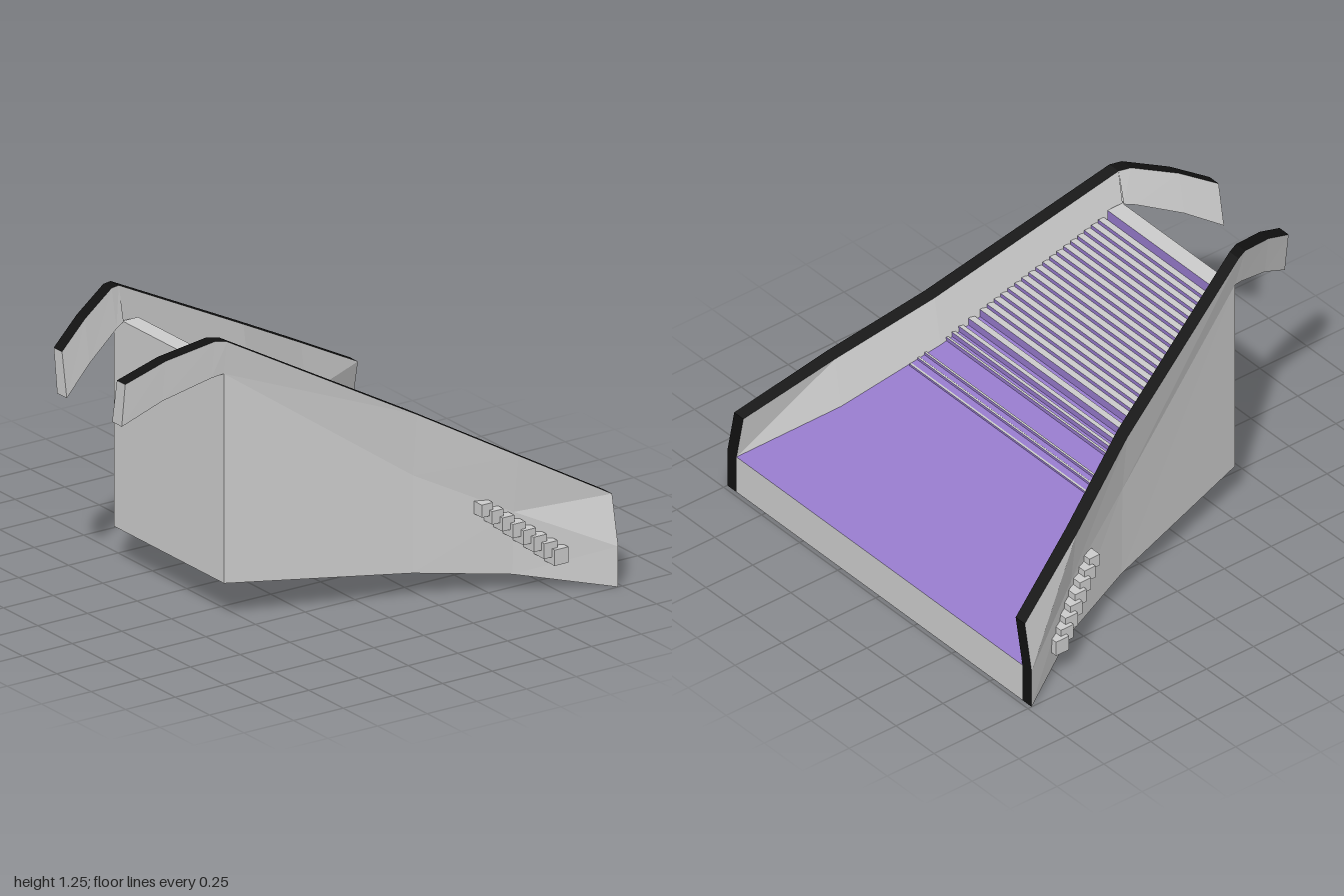
import * as THREE from 'three';

const mat = (color) => new THREE.MeshStandardMaterial({ color, side: THREE.DoubleSide, flatShading: true });

// Skins neighbouring lines of points with quads; mirror flips the patch to -z
function surface(name, material, lines, mirror = false) {
  const pos = [];
  const put = (...pts) => pts.forEach(([x, y, z]) => pos.push(x, y, mirror ? -z : z));
  for (let j = 0; j < lines.length - 1; j++) {
    const [A, B] = mirror ? [lines[j + 1], lines[j]] : [lines[j], lines[j + 1]];
    for (let i = 0; i < A.length - 1; i++) put(A[i], A[i + 1], B[i + 1], A[i], B[i + 1], B[i]);
  }
  const geo = new THREE.BufferGeometry();
  geo.setAttribute('position', new THREE.Float32BufferAttribute(pos, 3));
  geo.computeVertexNormals();
  const mesh = new THREE.Mesh(geo, material);
  mesh.name = name;
  return mesh;
}

const flip = (line) => line.map(([x, y, z]) => [x, y, -z]);

export function createModel() {
  const model = new THREE.Group();
  model.name = 'steppedRamp';
  const grey = mat(0xcccccc);
  const black = mat(0x111111);
  const purple = mat(0x9378c8);

  // Wall lines from back to front
  const base = [[-0.59, 0.17, 0.4], [0.2, 0.115, 0.63], [0.6, 0.07, 0.78], [0.98, 0, 1]];
  const waist = [[-0.59, 1.1, 0.4], [0.2, 0.55, 0.635], [0.6, 0.35, 0.79], [0.98, 0.18, 1]];
  const rimOut = [[-0.59, 1.25, 0.425], [0.2, 0.83, 0.665], [0.6, 0.61, 0.825], [0.98, 0.4, 0.955]];
  const rimIn = [[-0.59, 1.25, 0.365], [0.2, 0.83, 0.6], [0.6, 0.61, 0.76], [0.98, 0.4, 0.895]];
  const floor = [[-0.59, 1.05, 0.33], [0.2, 0.612, 0.56], [0.6, 0.39, 0.72], [0.98, 0.18, 0.94]];

  // Curved wing lines behind the back face
  const wing = [[-0.99, 0.9, 1.095, 0.26], [-0.83, 1.0, 1.185, 0.325],
    [-0.64, 1.085, 1.255, 0.405], [-0.59, 1.1, 1.25, 0.425]];
  const wLowOut = wing.map(([x, lo, , z]) => [x, lo, z - 0.025]);
  const wTopOut = wing.map(([x, , hi, z]) => [x, hi, z]);
  const wTopIn = wing.map(([x, , hi, z]) => [x, hi, z - 0.06]);
  const wLowIn = wing.map(([x, lo, , z]) => [x, lo, z - 0.095]);

  for (const mirror of [false, true]) {
    const side = new THREE.Group();
    side.name = mirror ? 'rightSide' : 'leftSide';
    side.add(
      surface('outerWall', grey, [base, waist, rimOut], mirror),
      surface('innerWall', grey, [rimIn, floor], mirror),
      surface('wallRim', black, [rimOut, rimIn], mirror),
      surface('wallFrontEnd', black, [
        [[0.98, 0, 0.94], floor[3], rimIn[3]],
        [base[3], waist[3], rimOut[3]]], mirror),
      surface('wingOuter', grey, [wLowOut, wTopOut], mirror),
      surface('wingRim', black, [wTopOut, wTopIn], mirror),
      surface('wingInner', grey, [wTopIn, wLowIn, wLowOut], mirror),
      surface('wingEnd', grey, [[wLowIn[0], wLowOut[0]], [wTopIn[0], wTopOut[0]]], mirror),
    );
    // Diagonal row of growing studs on the outer wall
    for (let i = 0; i < 8; i++) {
      const x = 0.47 + i * 0.04;
      const size = 0.056 + i * 0.002;
      const stud = new THREE.Mesh(new THREE.BoxGeometry(size, size, 0.08), grey);
      stud.name = 'stud';
      stud.position.set(x, 0.385 - i * 0.032, (0.745 + i * 0.0193) * (mirror ? -1 : 1));
      side.add(stud);
    }
    model.add(side);
  }

  // Ramp, underside and end panels
  const low = base[0], high = waist[0];
  model.add(
    surface('ramp', purple, [floor, flip(floor)]),
    surface('underside', grey, [flip(base), base]),
    surface('backPanel', grey, [[...flip([low]), low], [...flip([high]), high]]),
    surface('frontPanel', grey, [
      [[0.98, 0, 0.94], [0.98, 0, -0.94]],
      [[0.98, 0.18, 0.94], [0.98, 0.18, -0.94]]]),
  );

  // Steps: a wide top tread, an even flight, then thinning slats
  const steps = [[-0.59, -0.51]];
  for (let i = 0; i < 18; i++) steps.push([-0.51 + i * 0.03, -0.48 + i * 0.03]);
  steps.push([0.05, 0.08], [0.1, 0.12], [0.135, 0.15], [0.165, 0.175],
    [0.255, 0.265], [0.285, 0.295], [0.32, 0.33]);
  for (const [x0, x1] of steps) {
    const top = 1.1 - 0.605 * (x0 + 0.59);
    const halfWidth = 0.34 + 0.291 * (x0 + 0.59);
    const step = new THREE.Mesh(new THREE.BoxGeometry(x1 - x0, 0.06, halfWidth * 2),
      [purple, grey, grey, grey, grey, grey]);
    step.name = 'step';
    step.position.set((x0 + x1) / 2, top - 0.03, 0);
    model.add(step);
  }
  return model;
}
